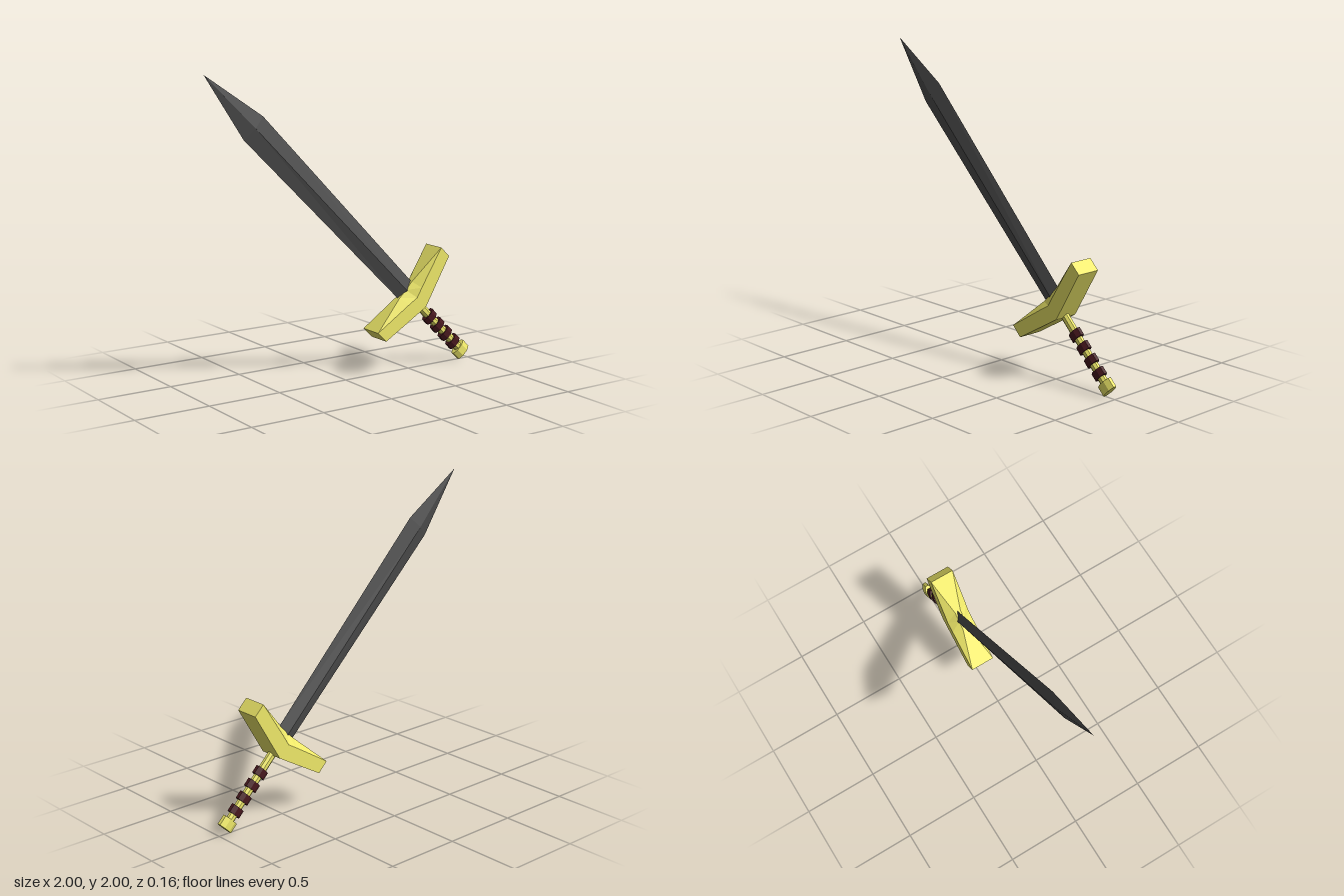
import * as THREE from 'three';

const gold = new THREE.MeshStandardMaterial({ color: 0xf0ea6a, flatShading: true });
const steel = new THREE.MeshStandardMaterial({ color: 0x505050, flatShading: true });
const leather = new THREE.MeshStandardMaterial({ color: 0x48181e, flatShading: true });

// Closed skin over cross-section loops of equal length, capped at both ends;
// each loop runs counter-clockwise about the direction of travel
function loft(rings) {
  const n = rings[0].length;
  const index = [];
  for (let r = 0; r < rings.length - 1; r++) {
    for (let i = 0; i < n; i++) {
      const a = r * n + i, b = r * n + (i + 1) % n;
      index.push(a, b, b + n, a, b + n, a + n);
    }
  }
  const last = (rings.length - 1) * n;
  for (let i = 1; i < n - 1; i++) {
    index.push(0, i + 1, i, last, last + i, last + i + 1);
  }
  const geo = new THREE.BufferGeometry();
  geo.setAttribute('position', new THREE.Float32BufferAttribute(rings.flat(2), 3));
  geo.setIndex(index);
  const flat = geo.toNonIndexed();
  flat.computeVertexNormals();
  return flat;
}

export function createModel() {
  const model = new THREE.Group();
  model.name = 'sword';
  // The sword is built upright, then leaned 45 degrees
  const sword = new THREE.Group();
  sword.name = 'leaningSword';
  sword.position.set(0.5, 0.5, 0);
  sword.rotation.z = Math.PI / 4;
  model.add(sword);

  function add(name, geometry, material, y = 0) {
    const mesh = new THREE.Mesh(geometry, material);
    mesh.name = name;
    mesh.position.y = y;
    sword.add(mesh);
  }

  // Flattened octagonal rod, given its half width and half depth
  function rod(w, d, h) {
    const r = 1 / Math.cos(Math.PI / 8);
    return new THREE.CylinderGeometry(r, r, h, 8).rotateY(Math.PI / 8).scale(w, 1, d);
  }

  // Blade: diamond section widening to the shoulder, then a point
  const diamond = (y, w, d) => [[w, y, 0], [0, y, -d], [-w, y, 0], [0, y, d]];
  add('blade', loft([
    diamond(-0.02, 0.073, 0.028),
    diamond(1.652, 0.096, 0.028),
    diamond(2.121, 0.0005, 0.0005),
  ]), steel);

  // Guard: upswept arms, with a ridge rising to the blade between dipped edges
  const D = 0.082;
  const section = (x, bottom, edge, ridge, ridgeZ) => [
    [x, bottom, -D], [x, bottom, D], [x, edge, D],
    [x, ridge, ridgeZ], [x, ridge, -ridgeZ], [x, edge, -D],
  ];
  add('guard', loft([
    section(0.358, -0.02, 0.071, 0.071, D),
    section(0.07, -0.095, 0.006, 0.055, 0.02),
    section(0, -0.113, -0.012, 0.052, 0.02),
    section(-0.07, -0.095, 0.006, 0.055, 0.02),
    section(-0.358, -0.02, 0.071, 0.071, D),
  ]), gold);

  // Grip, its four wraps and the pommel
  add('grip', rod(0.028, 0.022, 0.54), gold, -0.34);
  for (let i = 0; i < 4; i++) {
    add('gripWrap' + (i + 1), rod(0.048, 0.028, 0.052), leather, -0.244 - i * 0.093);
  }
  add('pommel', rod(0.057, 0.028, 0.066), gold, -0.617);

  return model;
}
